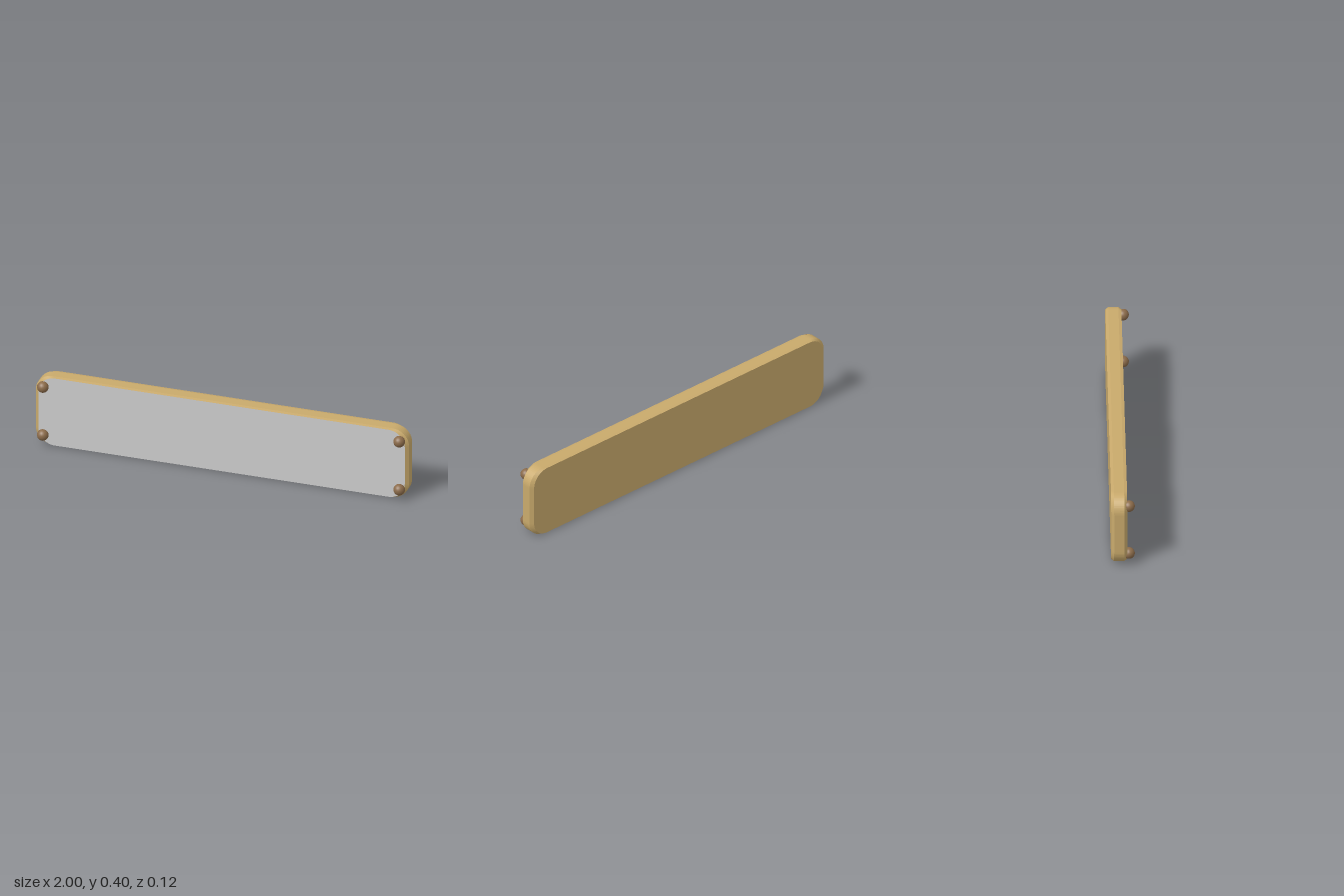
import * as THREE from 'three';

const W = 1, H = 0.198, R = 0.09; // half width, half height, corner radius

function roundedRect() {
  const s = new THREE.Shape();
  s.absarc(W - R, H - R, R, 0, Math.PI / 2);
  s.absarc(R - W, H - R, R, Math.PI / 2, Math.PI);
  s.absarc(R - W, R - H, R, Math.PI, Math.PI * 1.5);
  s.absarc(W - R, R - H, R, Math.PI * 1.5, Math.PI * 2);
  s.closePath();
  return s;
}

export function createModel() {
  const wood = new THREE.MeshStandardMaterial({ color: 0xc8a96b });
  wood.name = 'goldenWood';
  const grey = new THREE.MeshStandardMaterial({ color: 0xcccccc });
  grey.name = 'greyFace';
  const brown = new THREE.MeshStandardMaterial({ color: 0x8b6b4a });
  brown.name = 'brownStud';

  const model = new THREE.Group();
  model.name = 'signBoard';

  // board: extruded in three layers, with both end outlines drawn in slightly
  const geo = new THREE.ExtrudeGeometry(roundedRect(), {
    depth: 3, steps: 3, bevelEnabled: false, curveSegments: 8,
  });
  const layers = [-0.06, -0.045, 0.007, 0.022];
  const pos = geo.attributes.position;
  for (let i = 0; i < pos.count; i++) {
    const layer = Math.round(pos.getZ(i));
    const k = layer === 0 || layer === 3 ? 0.982 : 1;
    pos.setXYZ(i, pos.getX(i) * k, pos.getY(i) * k, layers[layer]);
  }
  geo.computeVertexNormals();

  // back cap and sides are wood, front cap is the grey face
  const [caps, sides] = geo.groups;
  geo.clearGroups();
  geo.addGroup(0, caps.count / 2, 0);
  geo.addGroup(caps.count / 2, caps.count / 2, 1);
  geo.addGroup(sides.start, sides.count, 0);
  const board = new THREE.Mesh(geo, [wood, grey]);
  board.name = 'board';
  board.position.y = H;
  model.add(board);

  // round studs at the four corners
  const ball = new THREE.SphereGeometry(0.03, 20, 14);
  for (const x of [-0.955, 0.955]) {
    for (const y of [0.06, 0.338]) {
      const stud = new THREE.Mesh(ball, brown);
      stud.name = (y > H ? 'upper' : 'lower') + (x > 0 ? 'Left' : 'Right') + 'Stud';
      stud.position.set(x, y, 0.031);
      model.add(stud);
    }
  }
  return model;
}
